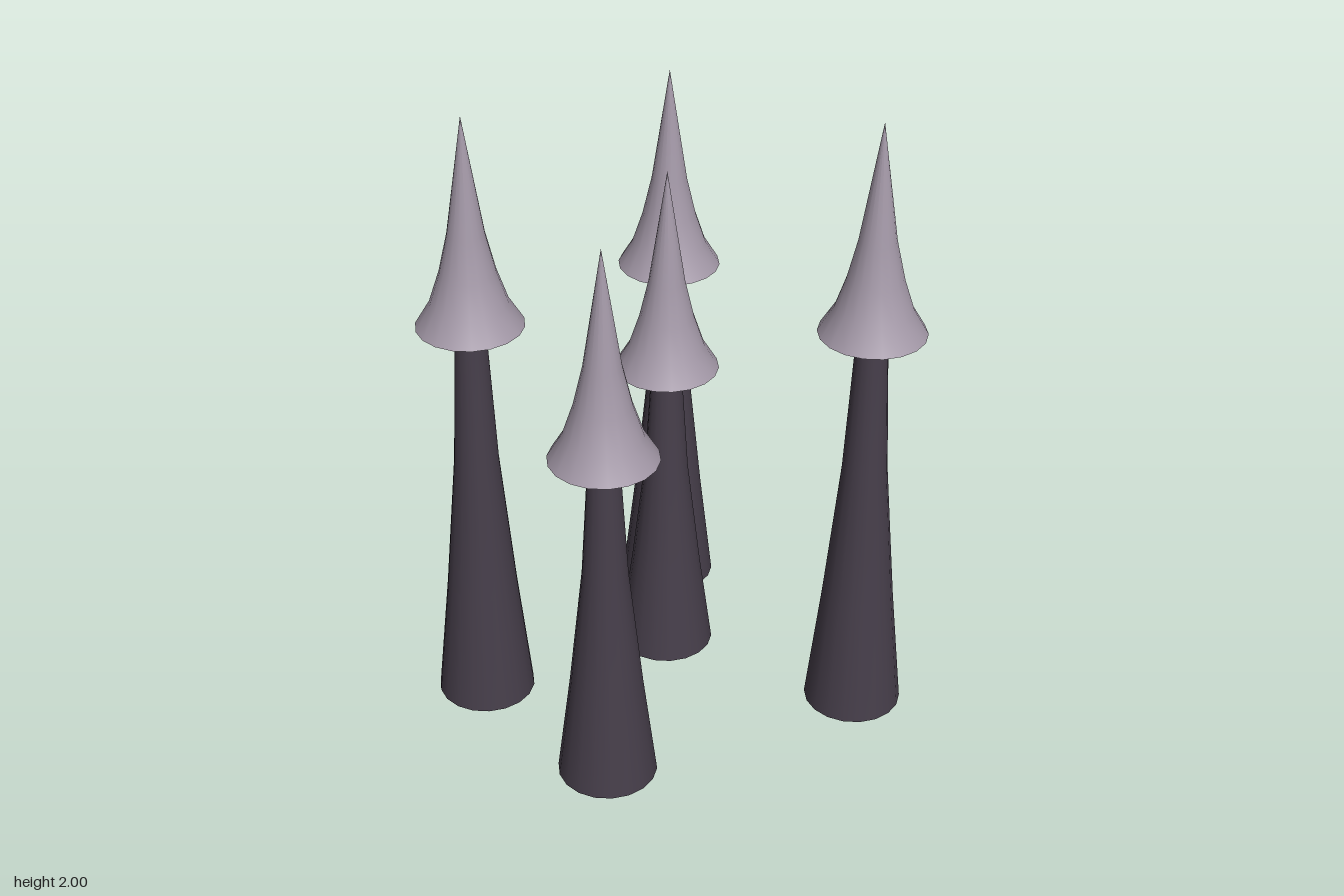
import * as THREE from 'three';

const SIDES = 18;
const CAP_HEIGHT = 0.665;
const CAP_RADIUS = 0.163;

const lathe = (points) =>
  new THREE.LatheGeometry(points.map(([r, y]) => new THREE.Vector2(r, y)), SIDES);

export function createModel() {
  const stemMaterial = new THREE.MeshStandardMaterial({ color: 0x463e4a, side: THREE.DoubleSide });
  stemMaterial.name = 'dark plum stem';
  const capMaterial = new THREE.MeshStandardMaterial({ color: 0xa499a8 });
  capMaterial.name = 'pale mauve cap';

  // Flared, pointed cap with a flat underside, shared by all
  const capGeometry = lathe([
    [CAP_RADIUS, 0], [0.118, 0.075], [0.085, 0.175], [0.056, 0.3], [0, CAP_HEIGHT],
  ]);
  const undersideGeometry = lathe([[0, 0], [CAP_RADIUS, 0]]);

  // Tapering stem, open at the foot, stretched to its height
  const stemGeometry = (height) => lathe([
    [0.153, 0], [0.111, 0.3 * height], [0.069, 0.65 * height], [0.046, height],
  ]);

  // x, z, height of the stem
  const places = [
    [-0.46, -0.4, 1.195],
    [-0.275, 0.46, 1.33],
    [-0.147, -0.163, 1.038],
    [0.295, 0.38, 1.13],
    [0.458, -0.465, 1.335],
  ];

  const model = new THREE.Group();
  model.name = 'mushroomCluster';
  places.forEach(([x, z, height], i) => {
    const mushroom = new THREE.Group();
    mushroom.name = `mushroom${i + 1}`;
    mushroom.position.set(x, 0, z);

    const stem = new THREE.Mesh(stemGeometry(height), stemMaterial);
    stem.name = 'stem';
    const cap = new THREE.Mesh(capGeometry, capMaterial);
    cap.name = 'cap';
    cap.position.y = height;
    const underside = new THREE.Mesh(undersideGeometry, capMaterial);
    underside.name = 'capUnderside';
    underside.position.y = height;

    mushroom.add(stem, cap, underside);
    model.add(mushroom);
  });
  return model;
}
